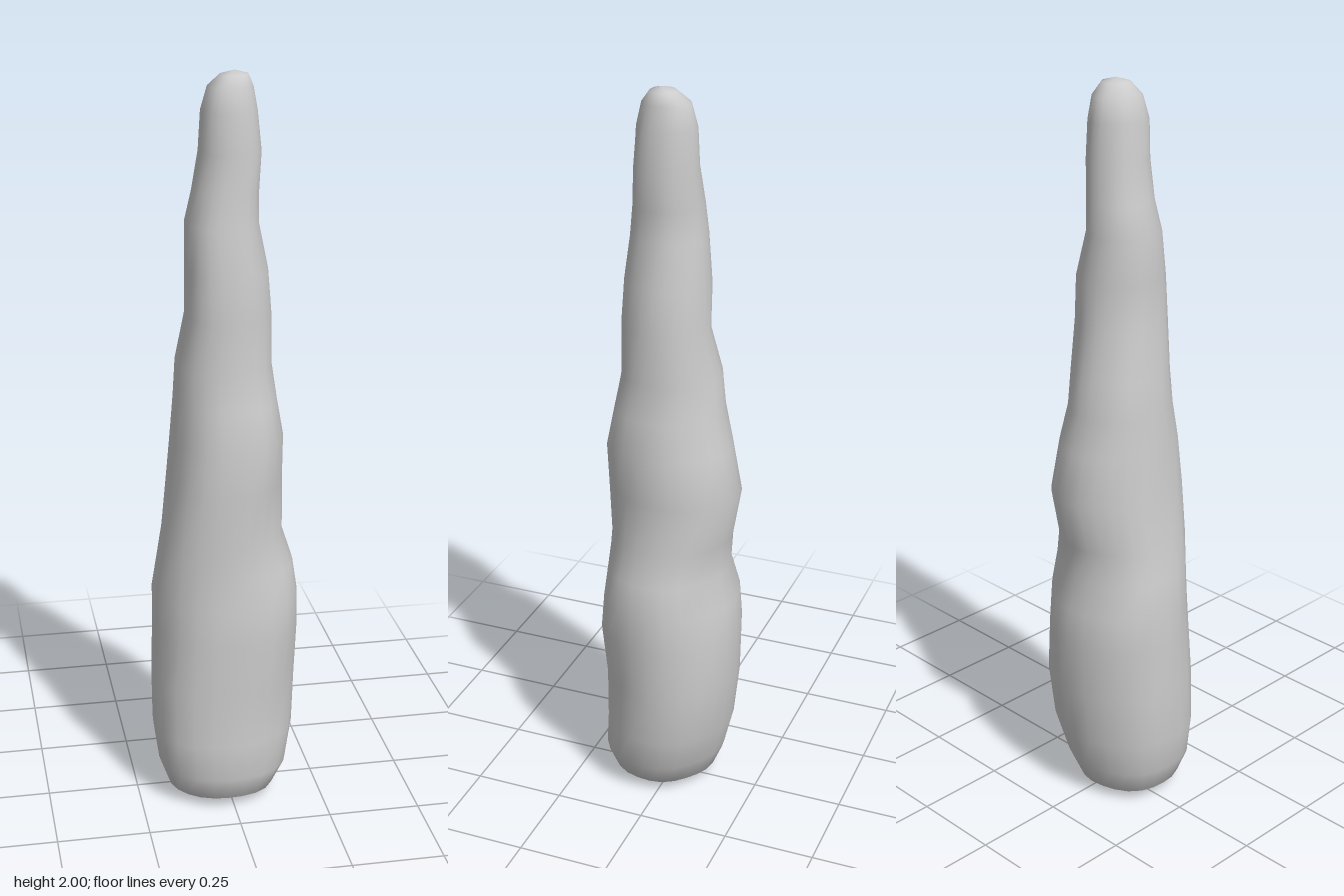
import * as THREE from 'three';

// Cross-sections from base to tip: height, xMin, xMax, zMin, zMax
const SECTIONS = [
  [0.01, -0.13, 0.09, -0.08, 0.13],
  [0.03, -0.165, 0.13, -0.115, 0.163],
  [0.1, -0.19, 0.165, -0.145, 0.19],
  [0.2, -0.203, 0.185, -0.17, 0.186],
  [0.35, -0.205, 0.195, -0.185, 0.18],
  [0.5, -0.2, 0.2, -0.187, 0.187],
  [0.6, -0.198, 0.197, -0.18, 0.18],
  [0.69, -0.185, 0.182, -0.157, 0.173],
  [0.78, -0.17, 0.153, -0.162, 0.17],
  [0.92, -0.155, 0.155, -0.187, 0.172],
  [1.05, -0.145, 0.154, -0.16, 0.17],
  [1.15, -0.136, 0.135, -0.138, 0.152],
  [1.25, -0.129, 0.12, -0.13, 0.136],
  [1.38, -0.107, 0.118, -0.1, 0.134],
  [1.5, -0.106, 0.11, -0.1, 0.125],
  [1.62, -0.105, 0.085, -0.085, 0.11],
  [1.7, -0.085, 0.085, -0.08, 0.1],
  [1.8, -0.068, 0.09, -0.07, 0.095],
  [1.9, -0.062, 0.08, -0.065, 0.09],
  [1.96, -0.045, 0.07, -0.05, 0.075],
  [1.99, -0.015, 0.057, -0.015, 0.052],
];
const SEGMENTS = 24;

// Squarish-oval ring through the four extents, fuller at the front, with soft diagonal lumps
function ringPoint([y, x0, x1, z0, z1], a) {
  const c = Math.cos(a), s = Math.sin(a);
  const power = 2.12 + 0.22 * s - 0.12 * c;
  const k = 1 / Math.pow(Math.abs(c) ** power + Math.abs(s) ** power, 1 / power);
  const lump = 1 + 0.035 * Math.sin(2 * a) ** 2 * Math.sin(y * 11 + a * 2);
  const rx = (x1 - x0) / 2, rz = (z1 - z0) / 2;
  return [(x0 + x1) / 2 + rx * c * k * lump, y, (z0 + z1) / 2 + rz * s * k * lump];
}

function loftGeometry() {
  const positions = [], index = [];
  for (const section of SECTIONS) {
    for (let j = 0; j < SEGMENTS; j++) positions.push(...ringPoint(section, (j / SEGMENTS) * Math.PI * 2));
  }
  const base = SECTIONS.length * SEGMENTS, tip = base + 1;
  positions.push(-0.02, 0, 0.025, 0.022, 2, 0.02);

  for (let i = 0; i < SECTIONS.length; i++) {
    for (let j = 0; j < SEGMENTS; j++) {
      const n = (j + 1) % SEGMENTS;
      const a = i * SEGMENTS + j, b = i * SEGMENTS + n;
      if (i === 0) index.push(base, a, b);
      if (i === SECTIONS.length - 1) index.push(a, tip, b);
      else index.push(a, a + SEGMENTS, b, b, a + SEGMENTS, b + SEGMENTS);
    }
  }
  const geometry = new THREE.BufferGeometry();
  geometry.setAttribute('position', new THREE.Float32BufferAttribute(positions, 3));
  geometry.setIndex(index);
  geometry.computeVertexNormals();
  return geometry;
}

export function createModel() {
  const group = new THREE.Group();
  group.name = 'stalagmite';
  // Lumpy tapering column with a rounded tip
  const column = new THREE.Mesh(loftGeometry(), new THREE.MeshStandardMaterial({ color: 0xcccccc }));
  column.name = 'taperedColumn';
  group.add(column);
  return group;
}
